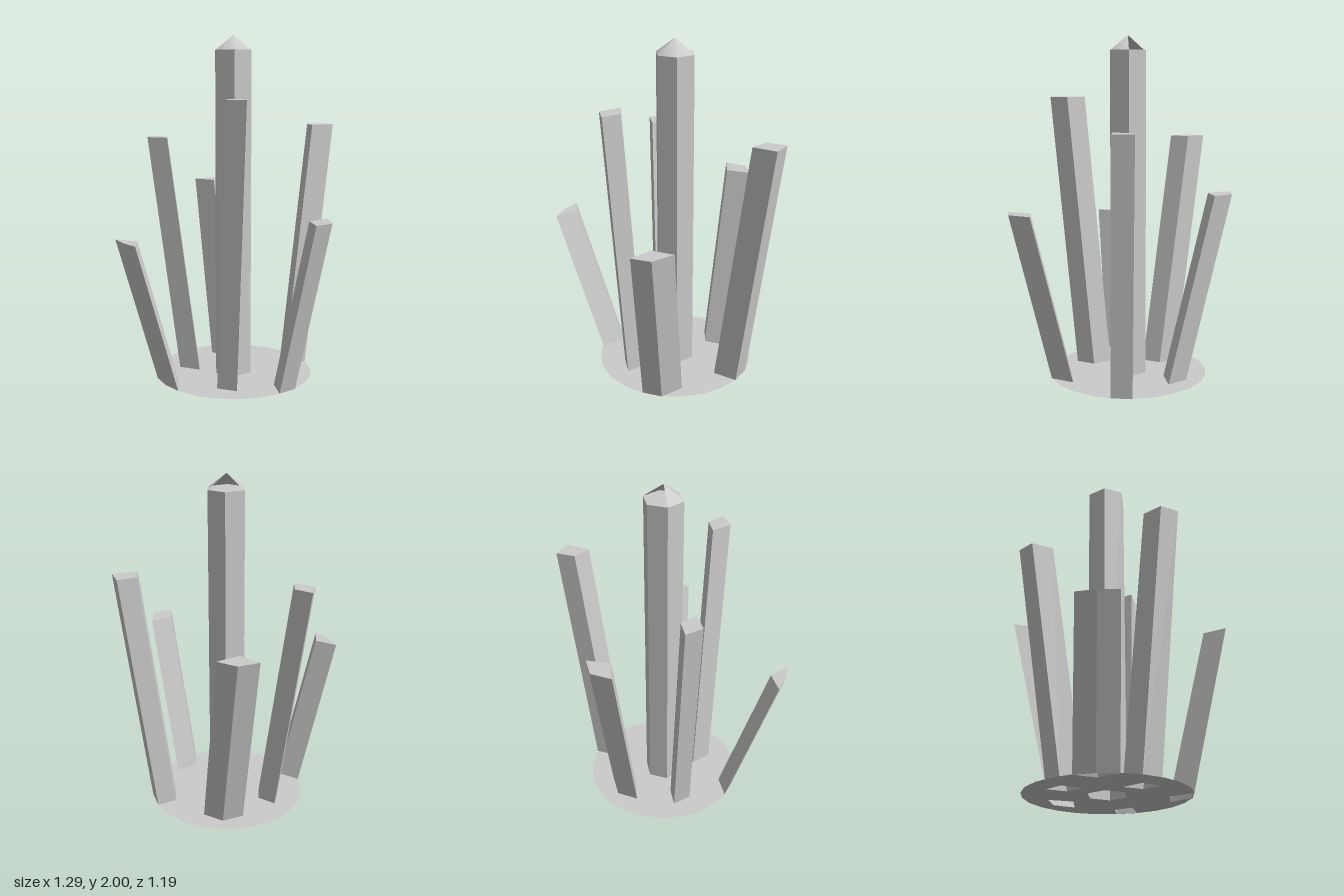
import * as THREE from 'three';

const material = new THREE.MeshStandardMaterial({ color: 0xcccccc, side: THREE.DoubleSide });
const CX = 0.024, CZ = 0.014; // axis of the disc and the central column
const DISC_R = 0.471, HEX_R = 0.117, HEX_H = 1.915;

// Points of a regular polygon around the axis, as [x, z]
function ring(radius, sides) {
  return Array.from({ length: sides }, (_, i) => {
    const a = (i / sides) * Math.PI * 2;
    return [CX + radius * Math.sin(a), CZ + radius * Math.cos(a)];
  });
}

// Leaning prism, open at the foot: top outline [x, z], height, and shift from top to foot
function prism(top, height, [sx, sz]) {
  const pos = [];
  const hi = ([x, z]) => [x, height, z];
  const lo = ([x, z]) => [x + sx, 0, z + sz];
  top.forEach((p, i) => {
    const q = top[(i + 1) % top.length];
    pos.push(...lo(p), ...lo(q), ...hi(q), ...lo(p), ...hi(q), ...hi(p));
    if (i > 0 && i < top.length - 1) pos.push(...hi(top[0]), ...hi(p), ...hi(q));
  });
  const g = new THREE.BufferGeometry();
  g.setAttribute('position', new THREE.Float32BufferAttribute(pos, 3));
  g.computeVertexNormals();
  return g;
}

const shards = [
  { name: 'backShard', height: 1.105, shift: [0.098, 0.23],
    top: [[-0.19, -0.54], [-0.073, -0.453], [0.045, -0.54], [-0.073, -0.599]] },
  { name: 'backRightShard', height: 1.405, shift: [0.184, 0.1],
    top: [[-0.464, -0.263], [-0.481, -0.149], [-0.363, -0.09], [-0.363, -0.204]] },
  { name: 'backLeftShard', height: 1.475, shift: [-0.166, 0.097],
    top: [[0.498, -0.26], [0.512, -0.145], [0.647, -0.204], [0.599, -0.318]] },
  { name: 'frontLeftShard', height: 0.99, shift: [-0.166, -0.17],
    top: [[0.412, 0.446], [0.429, 0.588], [0.526, 0.519], [0.526, 0.374]] },
  { name: 'frontRightShard', height: 0.875, shift: [0.218, -0.173],
    top: [[-0.647, 0.308], [-0.599, 0.419], [-0.526, 0.516], [-0.522, 0.374]] },
  { name: 'frontShard', height: 1.645, shift: [-0.04, -0.148],
    top: [[-0.035, 0.336], [-0.045, 0.467], [0.066, 0.515], [0.066, 0.398]] },
];

export function createModel() {
  const group = new THREE.Group();
  const add = (name, geometry) => {
    const mesh = new THREE.Mesh(geometry, material);
    mesh.name = name;
    group.add(mesh);
    return mesh;
  };

  // Central six-sided column
  const hex = ring(HEX_R, 6);
  add('centralColumn', prism(hex, HEX_H, [0, 0]));

  // Smooth pointed tip, open on its two rear faces
  const tipH = 2 - HEX_H;
  const tip = add('columnTip', new THREE.ConeGeometry(
    HEX_R, tipH, 4, 1, true, Math.PI * 4 / 3, Math.PI * 4 / 3));
  tip.position.set(CX, HEX_H + tipH / 2, CZ);

  // Leaning shards around the column
  for (const s of shards) add(s.name, prism(s.top, s.height, s.shift));

  // Thin disc, pierced under every hollow prism; holes are kept inside the rim
  const toPoint = ([x, z]) => {
    const v = new THREE.Vector2(x - CX, z - CZ).clampLength(0, DISC_R - 0.005);
    return new THREE.Vector2(v.x + CX, -(v.y + CZ));
  };
  const disc = new THREE.Shape(ring(DISC_R, 24).map(([x, z]) => new THREE.Vector2(x, -z)));
  disc.holes.push(new THREE.Path(hex.map(toPoint)));
  for (const { top, shift } of shards) {
    disc.holes.push(new THREE.Path(top.map(([x, z]) => toPoint([x + shift[0], z + shift[1]]))));
  }
  add('baseDisc', new THREE.ShapeGeometry(disc).rotateX(-Math.PI / 2));

  return group;
}
